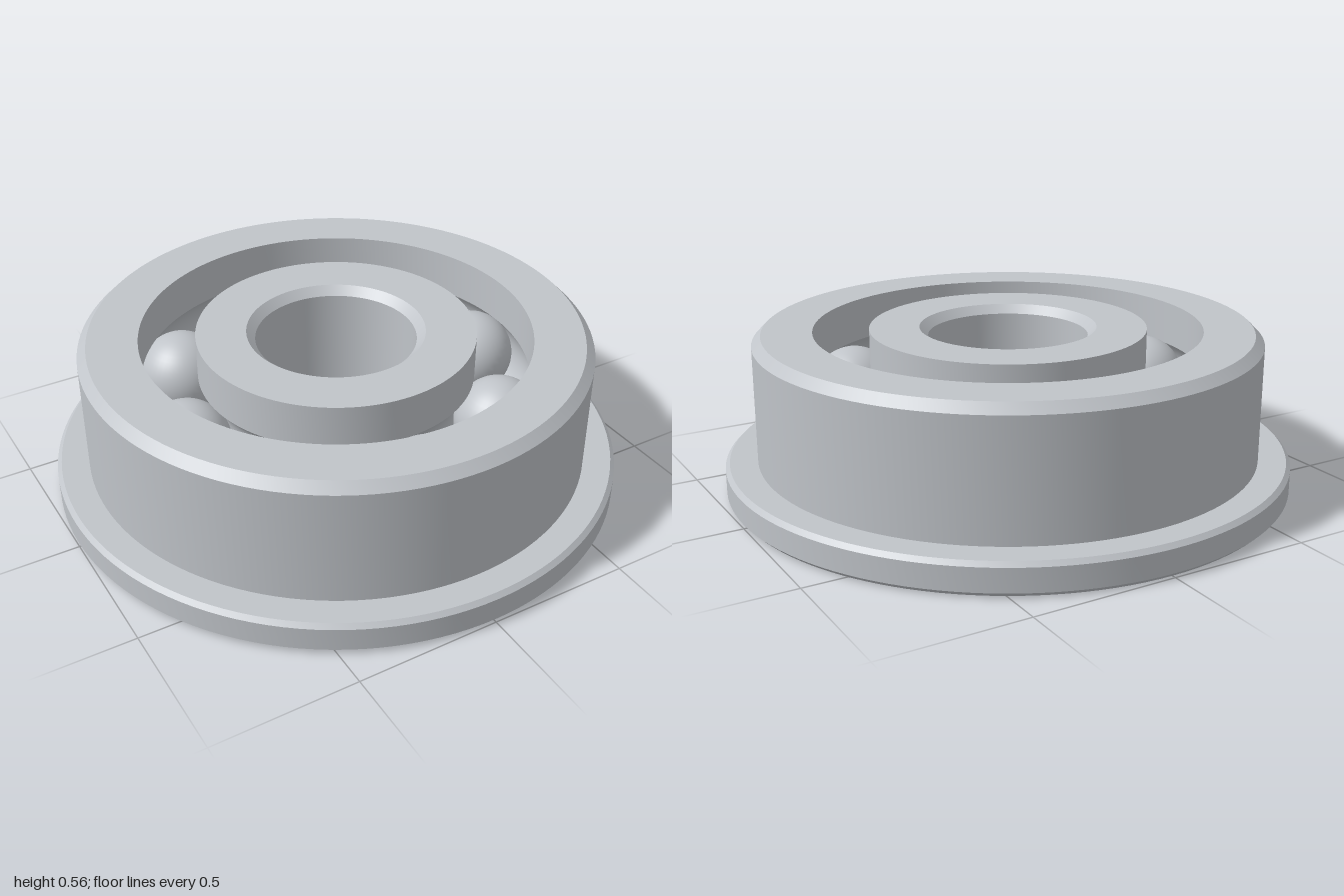
import * as THREE from 'three';
import { toCreasedNormals } from 'three/addons/utils/BufferGeometryUtils.js';

const HEIGHT = 0.555, MID = HEIGHT / 2;
const PITCH = 0.583, BALL = 0.155, BALLS = 8;
const OUTER_BORE = 0.68, INNER_RADIUS = 0.485;

// Points of the ball groove, from one shoulder of a ring to the other
function groove(shoulder, upward) {
  const side = Math.sign(shoulder - PITCH);
  const half = Math.acos(Math.abs(shoulder - PITCH) / BALL);
  const points = [];
  for (let i = 0; i <= 12; i++) {
    const a = half * (i / 6 - 1) * (upward ? 1 : -1);
    points.push([PITCH + side * BALL * Math.cos(a), MID + BALL * Math.sin(a)]);
  }
  return points;
}

// Spins a closed profile, keeping its chamfer edges sharp
function ring(name, profile, material) {
  const points = [...profile, profile[0]].map(([r, y]) => new THREE.Vector2(r, y));
  const geometry = toCreasedNormals(new THREE.LatheGeometry(points, 128), Math.PI / 6);
  const mesh = new THREE.Mesh(geometry, material);
  mesh.name = name;
  return mesh;
}

export function createModel() {
  const model = new THREE.Group();
  model.name = 'flangedBallBearing';
  const steel = new THREE.MeshStandardMaterial({ color: 0xc0c4c9 });
  steel.name = 'steel';

  // Outer ring with flange, chamfers and ball groove
  model.add(ring('outerRing', [
    [OUTER_BORE, 0], [0.985, 0], [1, 0.015], [1, 0.097], [0.985, 0.112],
    [0.888, 0.112], [0.888, HEIGHT - 0.032], [0.856, HEIGHT], [OUTER_BORE, HEIGHT],
    ...groove(OUTER_BORE, false),
  ], steel));

  // Inner ring with chamfered bore and ball groove
  model.add(ring('innerRing', [
    [0.31, 0], [INNER_RADIUS, 0],
    ...groove(INNER_RADIUS, true),
    [INNER_RADIUS, HEIGHT], [0.31, HEIGHT], [0.28, HEIGHT - 0.03], [0.28, 0.03],
  ], steel));

  // Balls
  const ballGeometry = new THREE.SphereGeometry(BALL, 40, 24);
  for (let i = 0; i < BALLS; i++) {
    const a = (i / BALLS) * Math.PI * 2;
    const ball = new THREE.Mesh(ballGeometry, steel);
    ball.name = `ball${i + 1}`;
    ball.position.set(PITCH * Math.cos(a), MID, PITCH * Math.sin(a));
    model.add(ball);
  }
  return model;
}
